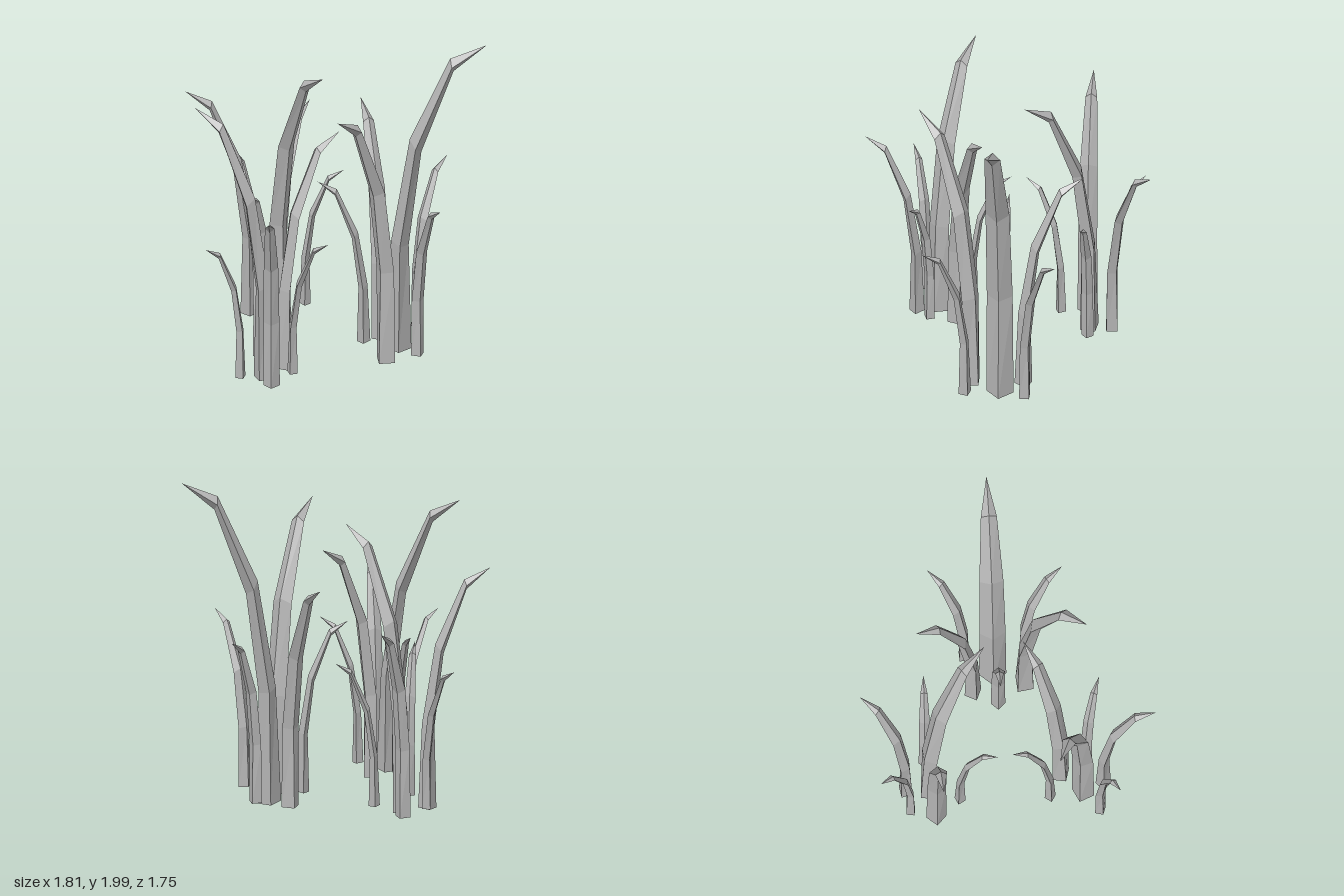
import * as THREE from 'three';

// Blade profile for height 1: inner edge [reach, y], outer edge [reach, y], half width
const RINGS = [
  { inner: [-0.038, 0.003], outer: [0.038, -0.002], w: 0.041 },
  { inner: [-0.022, 0.355], outer: [0.030, 0.340], w: 0.039 },
  { inner: [0.033, 0.688], outer: [0.068, 0.648], w: 0.036 },
  { inner: [0.154, 0.955], outer: [0.164, 0.914], w: 0.024 },
];
const REACH = 0.263;

// Diamond cross-sections joined in a loop, closed below and pointed at the tip
function bladeGeometry() {
  const rings = RINGS.map(({ inner, outer, w }) => {
    const mx = (inner[0] + outer[0]) / 2, my = (inner[1] + outer[1]) / 2;
    return [
      [outer[0], outer[1], 0], [mx, my, -w],
      [inner[0], inner[1], 0], [mx, my, w],
    ];
  });
  const tip = [REACH, 1, 0];
  const pos = [];
  const tri = (a, b, c) => pos.push(...a, ...b, ...c);
  rings.forEach((ring, i) => {
    const next = rings[i + 1];
    for (let k = 0; k < 4; k++) {
      const a = ring[k], b = ring[(k + 1) % 4];
      if (next) {
        tri(a, b, next[(k + 1) % 4]);
        tri(a, next[(k + 1) % 4], next[k]);
      } else tri(a, b, tip);
    }
  });
  const [p, q, r, s] = rings[0];
  tri(p, r, q);
  tri(p, s, r);
  const geo = new THREE.BufferGeometry();
  geo.setAttribute('position', new THREE.Float32BufferAttribute(pos, 3));
  geo.computeVertexNormals();
  return geo;
}

// Each blade: tip x, y, z, base y, and a point x, z at its foot
const TUFTS = {
  rightTuft: [
    [0.905, 2.0, -0.115, 0.015, 0.385, -0.085],
    [0.06, 1.735, 0.47, 0.02, 0.325, 0.10],
    [0.125, 1.43, -0.545, 0.02, 0.27, -0.20],
    [-0.095, 1.105, -0.045, 0.065, 0.18, -0.055],
    [0.645, 1.105, -0.47, 0.065, 0.48, -0.255],
    [0.66, 1.105, 0.33, 0.065, 0.51, 0.105],
  ],
  backTuft: [
    [-0.07, 1.73, -0.14, 0.045, -0.36, -0.47],
    [-0.905, 1.505, -0.39, 0.05, -0.52, -0.43],
    [-0.20, 1.245, -0.88, 0.05, -0.36, -0.61],
    [-0.65, 0.97, -0.76, 0.09, -0.50, -0.58],
    [0.03, 0.97, -0.50, 0.09, -0.20, -0.495],
    [-0.49, 0.97, -0.065, 0.09, -0.43, -0.29],
  ],
  frontTuft: [
    [-0.80, 1.73, 0.30, 0.045, -0.38, 0.44],
    [0.045, 1.505, 0.09, 0.05, -0.27, 0.31],
    [-0.32, 1.245, 0.875, 0.05, -0.325, 0.56],
    [-0.71, 0.97, 0.66, 0.09, -0.51, 0.54],
    [0.01, 0.97, 0.54, 0.09, -0.21, 0.46],
    [-0.475, 0.97, 0.02, 0.09, -0.42, 0.25],
  ],
};

export function createModel() {
  const model = new THREE.Group();
  model.name = 'grass';
  const grey = new THREE.MeshStandardMaterial({ color: 0xb4b4b4 });
  grey.name = 'grey';
  grey.flatShading = true;
  const geo = bladeGeometry();

  for (const [name, blades] of Object.entries(TUFTS)) {
    const tuft = new THREE.Group();
    tuft.name = name;
    for (const [tx, ty, tz, by, fx, fz] of blades) {
      // Scale the blade to its height and turn it so its tip lands in place
      const h = ty - by;
      const angle = Math.atan2(tz - fz, tx - fx);
      const blade = new THREE.Mesh(geo, grey);
      blade.name = 'blade';
      blade.scale.setScalar(h);
      blade.rotation.y = -angle;
      blade.position.set(tx - REACH * h * Math.cos(angle), by, tz - REACH * h * Math.sin(angle));
      tuft.add(blade);
    }
    model.add(tuft);
  }
  return model;
}
